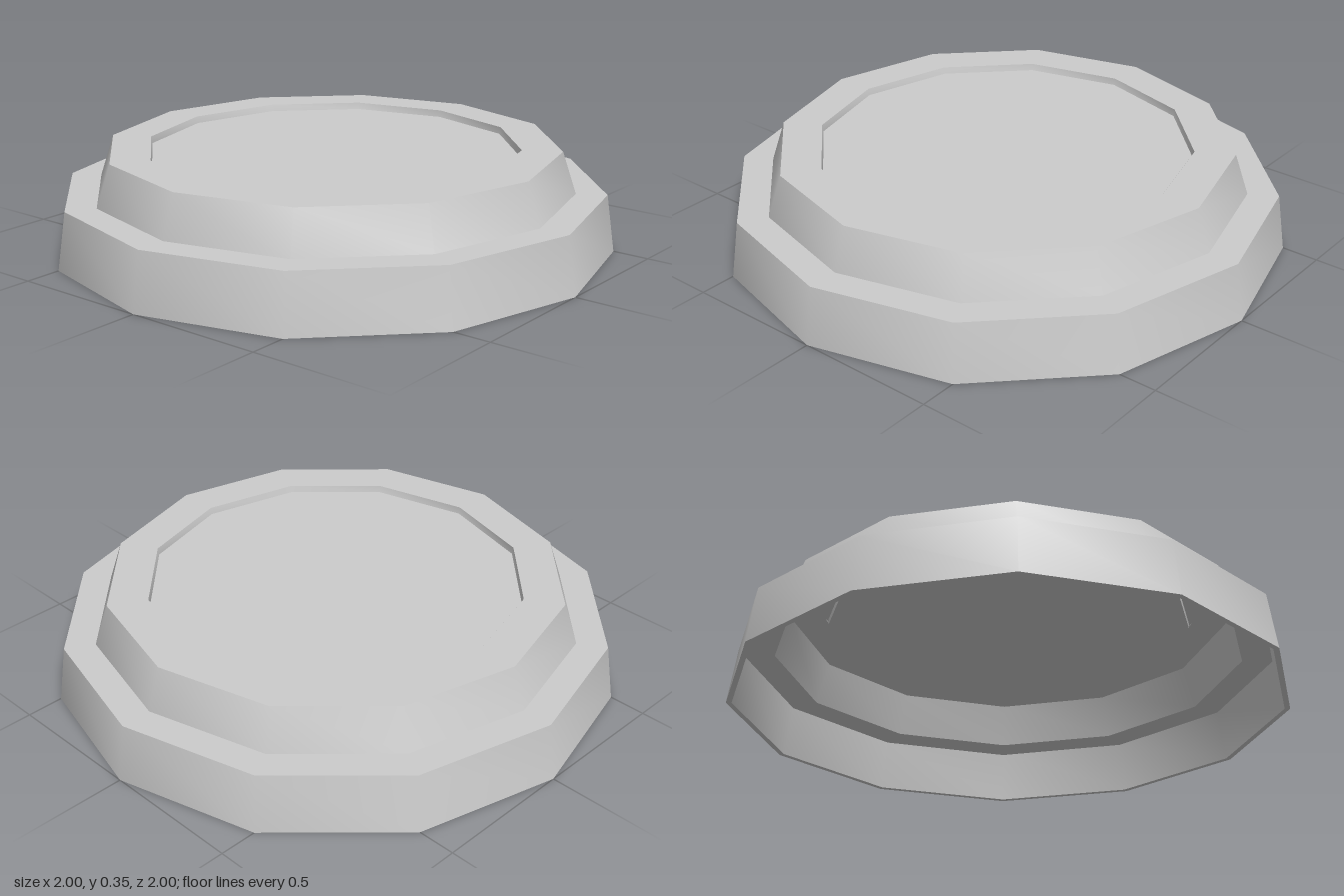
import * as THREE from 'three';
import { toCreasedNormals } from 'three/addons/utils/BufferGeometryUtils.js';

const SIDES = 12;

// Closed thin-walled profiles as [radius, height]
const inside = [
  [0, 0.31], [0.655, 0.31], [0.655, 0.335], [0.79, 0.335],
  [0.84, 0.185], [0.95, 0.185], [0.98, 0],
];
const outside = [
  [1, 0], [0.97, 0.205], [0.86, 0.205], [0.81, 0.355],
  [0.667, 0.355], [0.663, 0.33], [0, 0.33],
];

function turned(name, profile, material) {
  const points = profile.map(([r, y]) => new THREE.Vector2(r, y));
  const lathe = new THREE.LatheGeometry(points, SIDES);
  // Smooth around the sides, sharp at the steps
  const mesh = new THREE.Mesh(toCreasedNormals(lathe, THREE.MathUtils.degToRad(35)), material);
  mesh.name = name;
  return mesh;
}

export function createModel() {
  const group = new THREE.Group();
  group.name = 'steppedLid';
  const material = new THREE.MeshStandardMaterial({ color: 0xcccccc });

  // Stepped outer skin with the shallow recess on top
  group.add(turned('outerShell', outside, material));
  // Hollow underside following the same steps
  group.add(turned('innerShell', inside, material));
  // Flat rim joining both skins at the bottom
  group.add(turned('bottomRim', [inside.at(-1), outside[0]], material));

  return group;
}
